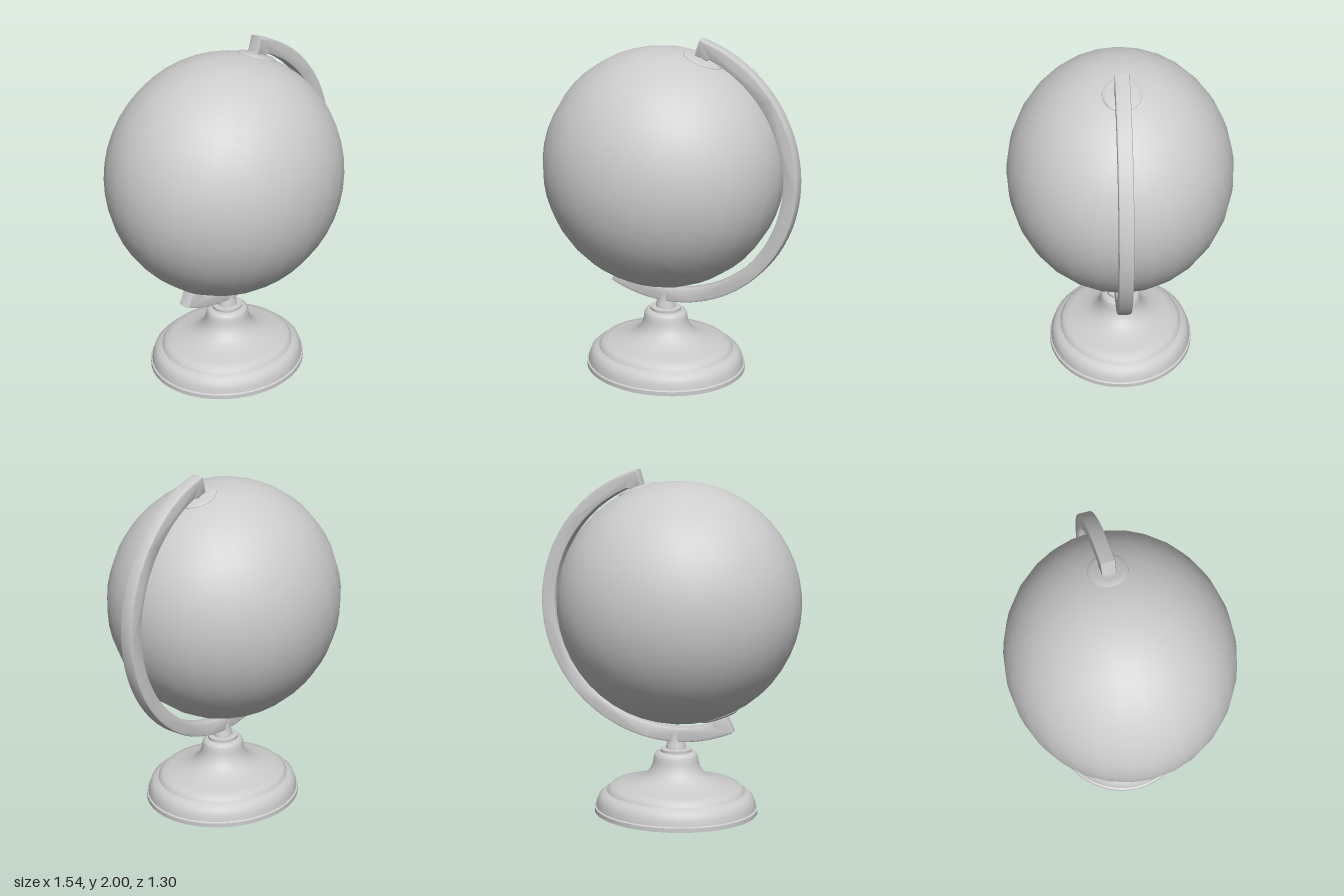
import * as THREE from 'three';
import { toCreasedNormals } from 'three/addons/utils/BufferGeometryUtils.js';

const TILT = -0.36; // lean of the ball's axis towards +x
const DEPTH = 0.915; // round parts are slightly narrow in z

export function createModel() {
  const model = new THREE.Group();
  model.name = 'deskGlobe';
  const grey = new THREE.MeshStandardMaterial({ color: 0xcccccc });
  grey.name = 'plain grey';

  const add = (name, geometry, parent = model) => {
    const mesh = new THREE.Mesh(geometry, grey);
    mesh.name = name;
    parent.add(mesh);
    return mesh;
  };
  const lathe = (points, segments) => toCreasedNormals(
    new THREE.LatheGeometry(points.map(([r, y]) => new THREE.Vector2(r, y)), segments), 0.7);

  // Turned foot with lip, flared bell, collar and post
  const foot = add('base', lathe([
    [0, 0], [0.485, 0], [0.485, 0.025], [0.475, 0.03], [0.47, 0.06], [0.458, 0.09],
    [0.44, 0.108], [0.41, 0.12], [0.402, 0.135], [0.385, 0.152], [0.34, 0.16],
    [0.26, 0.18], [0.215, 0.197], [0.185, 0.215], [0.16, 0.24], [0.143, 0.27],
    [0.134, 0.3], [0.13, 0.33], [0.122, 0.347], [0.105, 0.355], [0.093, 0.357],
    [0.093, 0.373], [0.06, 0.376], [0.056, 0.4], [0.048, 0.42], [0.047, 0.47], [0, 0.47],
  ], 48));
  foot.position.x = -0.05;
  foot.scale.z = DEPTH;

  // Ball on its leaning axis
  const ball = new THREE.Group();
  ball.name = 'ball';
  ball.position.set(-0.065, 1.232, 0);
  ball.scale.set(1, 0.985, DEPTH);
  model.add(ball);
  add('sphere', new THREE.SphereGeometry(0.71, 28, 24), ball).rotation.z = TILT;

  // Pole caps with their pivot pins
  const cap = lathe([
    [0.12, 0.69], [0.117, 0.703], [0.1, 0.712], [0.075, 0.712], [0.05, 0.716],
    [0.032, 0.722], [0.03, 0.76], [0, 0.76],
  ], 24);
  add('topPoleCap', cap, ball).rotation.z = TILT;
  add('bottomPoleCap', cap, ball).rotation.z = TILT + Math.PI;

  // Curved arm, a little thicker at both ends
  const a0 = THREE.MathUtils.degToRad(-114.5);
  const a1 = THREE.MathUtils.degToRad(73.5);
  const bevel = 0.01, end = 0.08;
  const outer = 0.82 - bevel, inner = 0.735 + bevel, stub = 0.715 + bevel;
  const arc = new THREE.Shape();
  arc.absarc(0, 0, outer, a0, a1, false);
  arc.absarc(0, 0, stub, a1, a1 - end, true);
  arc.absarc(0, 0, inner, a1 - end - 0.02, a0 + end + 0.02, true);
  arc.absarc(0, 0, stub, a0 + end, a0, true);
  arc.closePath();
  const armGeometry = new THREE.ExtrudeGeometry(arc, {
    depth: 0.08 - 2 * bevel, curveSegments: 40,
    bevelEnabled: true, bevelThickness: bevel, bevelSize: bevel, bevelSegments: 2,
  });
  armGeometry.translate(0, 0, -0.04 + bevel);
  const arm = add('arm', toCreasedNormals(armGeometry, 0.6));
  arm.position.set(-0.05, 1.222, 0);
  arm.scale.y = 0.98;

  return model;
}
